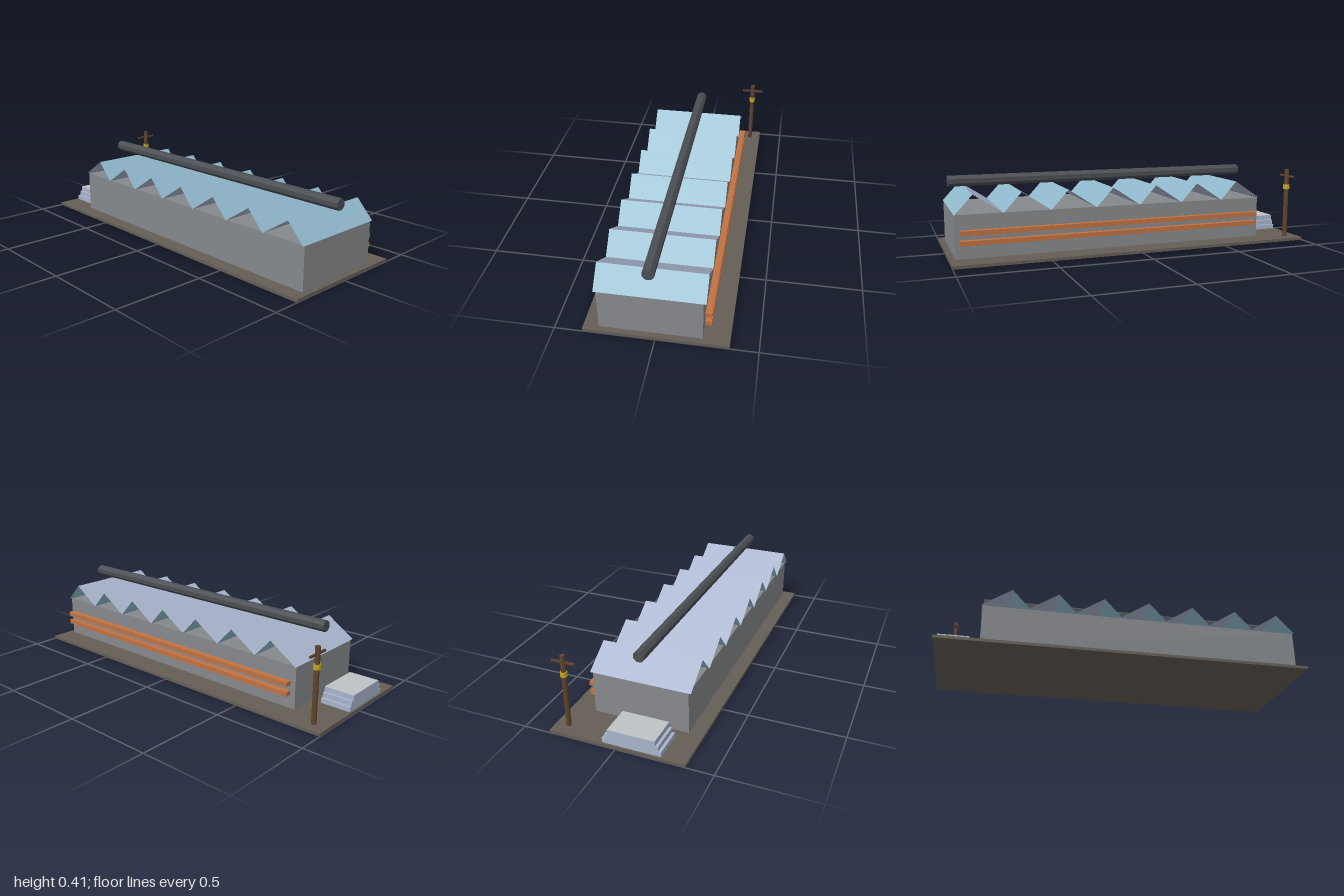
import * as THREE from 'three';

const mat = (name, color, extra = {}) => {
  const m = new THREE.MeshStandardMaterial({ color, ...extra });
  m.name = name;
  return m;
};

export function createModel() {
  const group = new THREE.Group();
  const ground = mat('earth brown', 0x645e56);
  const concrete = mat('concrete grey', 0x86898c);
  const glass = mat('skylight blue', 0x92bbce, { side: THREE.DoubleSide });
  const steel = mat('pale steel', 0xa9b4cd, { side: THREE.DoubleSide });
  const lidGrey = mat('light grey', 0xbfc2c5);
  const iron = mat('dark iron', 0x4b4e53, { flatShading: true });
  const orange = mat('pipe orange', 0xc17241);
  const wood = mat('dark wood', 0x5f432c, { flatShading: true });
  const yellow = mat('warning yellow', 0xc4a81f, { flatShading: true });

  const add = (name, geometry, material) => {
    const mesh = new THREE.Mesh(geometry, material);
    mesh.name = name;
    group.add(mesh);
    return mesh;
  };
  // Box given by its lower and upper corners
  const box = (name, material, [x0, y0, z0], [x1, y1, z1]) =>
    add(name, new THREE.BoxGeometry(x1 - x0, y1 - y0, z1 - z0), material)
      .position.set((x0 + x1) / 2, (y0 + y1) / 2, (z0 + z1) / 2);
  // Eight-sided prism with a flat side towards each axis
  const prism = (radius, length) =>
    new THREE.CylinderGeometry(radius, radius, length, 8).rotateY(Math.PI / 8);

  box('basePlate', ground, [-0.36, 0, -1], [0.36, 0.016, 1]);
  box('hallWalls', concrete, [-0.283, 0.016, -0.77], [0.229, 0.245, 0.97]);

  // Sawtooth roof: open thin sheets, gentle steel slope then steep glass
  const x0 = -0.296, x1 = 0.243, low = 0.245, high = 0.347;
  const sheet = (zBack, yBack, zFront, yFront) => {
    const g = new THREE.BufferGeometry();
    g.setAttribute('position', new THREE.Float32BufferAttribute([
      x0, yBack, zBack, x0, yFront, zFront, x1, yFront, zFront, x1, yBack, zBack], 3));
    g.setIndex([0, 1, 2, 0, 2, 3]);
    g.computeVertexNormals();
    return g;
  };
  const teeth = 7, start = -0.775, pitch = 1.747 / teeth;
  for (let i = 0; i < teeth; i++) {
    const z = start + i * pitch, ridge = z + pitch * 0.62;
    add('roofSlope', sheet(z, low, ridge, high), steel);
    add('roofSkylight', sheet(ridge, high, z + pitch, low), glass);
  }

  // Long duct over the roof
  add('roofDuct', prism(0.0308, 1.74).rotateX(Math.PI / 2), iron)
    .position.set(-0.027, 0.386, 0.1);

  // Pair of pipes along the left wall
  for (const y of [0.091, 0.143])
    box('sidePipe', orange, [0.236, y, -0.745], [0.269, y + 0.024, 0.95]);

  // Stepped stack behind the hall with a grey top sheet
  for (let i = 0; i < 3; i++) {
    const half = 0.154 - i * 0.015, y = 0.016 + i * 0.026;
    box('stackLayer', steel, [-0.08 - half, y, -0.99], [-0.08 + half, y + 0.026, -0.824]);
  }
  box('stackTop', lidGrey, [-0.204, 0.094, -0.99], [0.044, 0.096, -0.824]);

  // Utility pole with crossarm and collar
  const px = 0.294, pz = -0.925;
  add('pole', prism(0.0132, 0.395), wood).position.set(px, 0.2135, pz);
  box('poleCrossarm', wood, [0.23, 0.368, pz - 0.005], [0.358, 0.378, pz + 0.005]);
  add('poleCollar', prism(0.0185, 0.026), yellow).position.set(px, 0.309, pz);

  return group;
}
